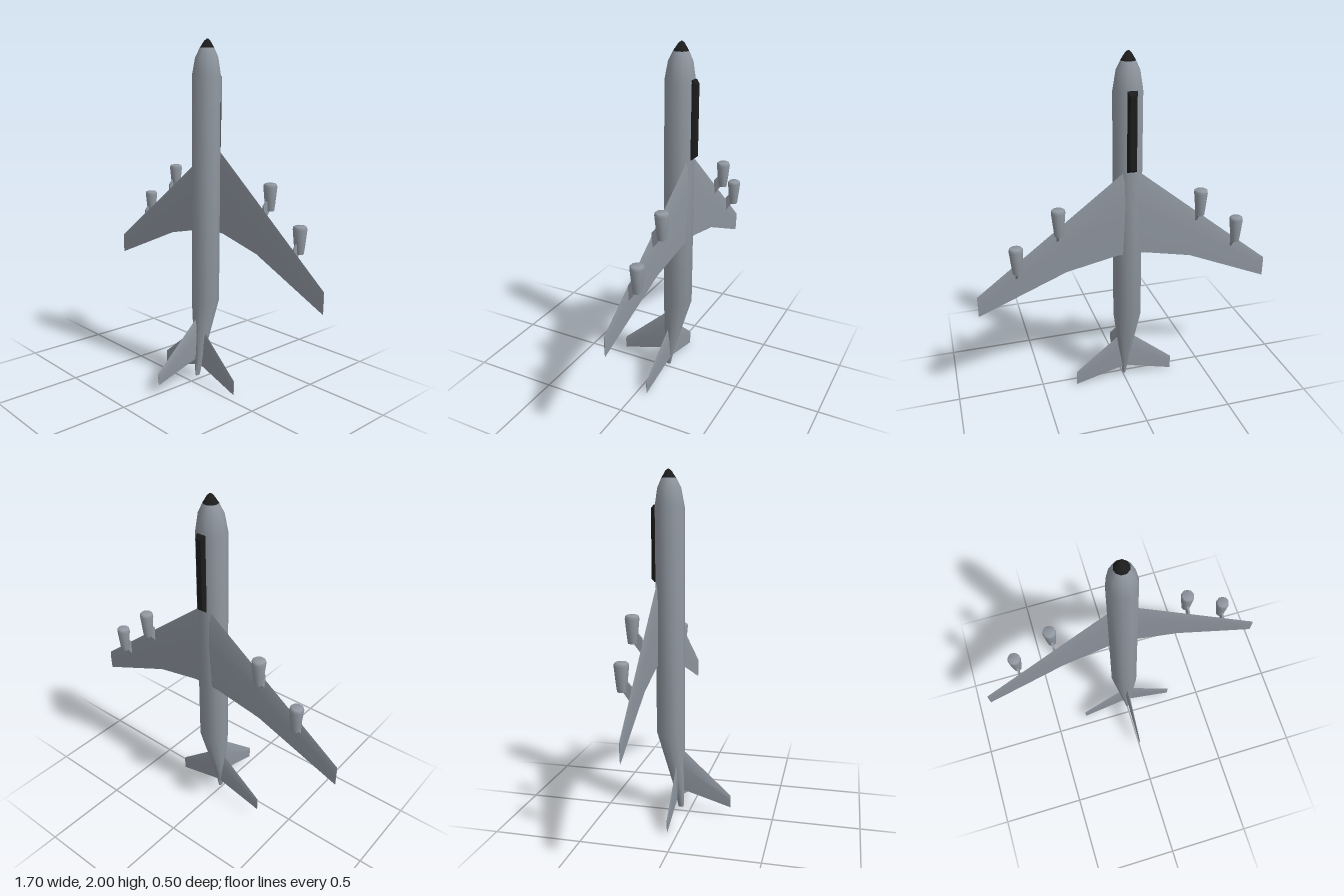
import * as THREE from 'three';
import { toCreasedNormals } from 'three/addons/utils/BufferGeometryUtils.js';

const grey = new THREE.MeshStandardMaterial({ color: 0x8f969f });
const black = new THREE.MeshStandardMaterial({ color: 0x1c1c1c });

// Skin a list of equal-length rings of [x, y, z] points, cap both ends
function loft(rings, crease = 0.75) {
  const n = rings[0].length;
  const tris = [];
  const add = (a, b, c) => tris.push([a, b, c]);
  for (let i = 0; i < rings.length - 1; i++) {
    for (let j = 0; j < n; j++) {
      const k = (j + 1) % n;
      const [a, b, c, d] = [rings[i][j], rings[i][k], rings[i + 1][k], rings[i + 1][j]];
      add(a, b, c);
      add(a, c, d);
    }
  }
  const first = rings[0], last = rings[rings.length - 1];
  for (let j = 1; j < n - 1; j++) {
    add(first[0], first[j + 1], first[j]);
    add(last[0], last[j], last[j + 1]);
  }
  // Turn the faces outwards if the enclosed volume is negative
  const v = (p) => new THREE.Vector3(...p).sub(new THREE.Vector3(...first[0]));
  const volume = tris.reduce((s, [a, b, c]) => s + v(a).dot(v(b).cross(v(c))), 0);
  const points = tris.flatMap(([a, b, c]) => (volume < 0 ? [a, c, b] : [a, b, c])).flat();
  const geometry = new THREE.BufferGeometry();
  geometry.setAttribute('position', new THREE.Float32BufferAttribute(points, 3));
  return toCreasedNormals(geometry, crease);
}

// Horizontal ring around the long axis
function ring(y, r, z, sides = 10, x = 0, rz = r) {
  return Array.from({ length: sides }, (_, i) => {
    const a = (i / sides) * Math.PI * 2;
    return [x + r * Math.cos(a), y, z + rz * Math.sin(a)];
  });
}

// Thin aerofoil section: span position, leading and trailing y, height z, thickness
function foil([s, lead, trail, z, t], place) {
  const chord = lead - trail;
  return [
    [lead, 0], [lead - chord * 0.12, 0.35], [lead - chord * 0.4, 0.5], [trail, 0.04],
    [trail, -0.04], [lead - chord * 0.4, -0.5], [lead - chord * 0.12, -0.35],
  ].map(([y, h]) => place(s, y, z + h * t));
}

export function createModel() {
  const model = new THREE.Group();
  const part = (name, geometry, material = grey) => {
    const mesh = new THREE.Mesh(geometry, material);
    mesh.name = name;
    model.add(mesh);
    return mesh;
  };

  // Fuselage: straight back, belly sweeping up to the tail
  part('fuselage', loft([
    ring(0.03, 0.009, -0.05, 10, 0, 0.016),
    ring(0.14, 0.026, -0.059, 10, 0, 0.029),
    ring(0.5, 0.083, -0.11),
    ring(1.8, 0.083, -0.11),
    ring(1.9, 0.066, -0.112),
    ring(1.952, 0.041, -0.114),
  ]));
  part('noseCone', loft([
    ring(1.952, 0.041, -0.114),
    ring(1.99, 0.017, -0.116),
    ring(2.0, 0.005, -0.117),
  ]), black);

  // Long dark fairing under the forward belly
  const fairing = (z, w, y0, y1) => [[-w, y0, z], [w, y0, z], [w, y1, z], [-w, y1, z]];
  part('bellyFairing', loft([
    fairing(-0.17, 0.027, 1.38, 1.815),
    fairing(-0.195, 0.026, 1.385, 1.81),
    fairing(-0.213, 0.016, 1.4, 1.79),
  ], 0.2), black);

  // Wings and tailplanes, mirrored
  for (const side of [1, -1]) {
    const label = side > 0 ? 'left' : 'right';
    const across = (s, y, z) => [side * s, y, z];
    part(label + 'Wing', loft([
      [0, 1.413, 0.905, -0.176, 0.018],
      [0.08, 1.35, 0.9, -0.174, 0.017],
      [0.36, 1.128, 0.835, -0.16, 0.011],
      [0.85, 0.74, 0.62, -0.134, 0.005],
    ].map((f) => foil(f, across))));
    part(label + 'Tailplane', loft([
      [0, 0.34, 0.09, -0.07, 0.012],
      [0.3, 0.09, 0.003, -0.058, 0.005],
    ].map((f) => foil(f, across))));
  }

  // Upright fin
  part('tailFin', loft([
    [-0.06, 0.41, 0.15, 0, 0.026],
    [-0.03, 0.385, 0.137, 0, 0.024],
    [0.25, 0.13, 0.055, 0, 0.008],
  ].map((f) => foil(f, (s, y, z) => [z, y, s]))));

  // Engine pods on pylons: x, bottom y, axis z, wing z
  const engines = [
    ['leftInner', 0.405, 1.08, -0.212, -0.158],
    ['leftOuter', 0.633, 0.885, -0.196, -0.146],
    ['rightInner', -0.388, 1.105, -0.212, -0.158],
    ['rightOuter', -0.62, 0.91, -0.196, -0.146],
  ];
  for (const [name, x, y, z, wingZ] of engines) {
    const pod = [[0, 0.024], [0.05, 0.03], [0.13, 0.038], [0.145, 0.036], [0.15, 0.03]];
    part(name + 'Engine', loft(pod.map(([h, r]) => ring(y + h, r, z, 10, x))));
    const blade = (px) => [
      [px, y + 0.09, z], [px, y + 0.01, z], [px, y - 0.06, wingZ], [px, y + 0.03, wingZ],
    ];
    part(name + 'Pylon', loft([blade(x - 0.006), blade(x + 0.006)], 0.2));
  }
  return model;
}
